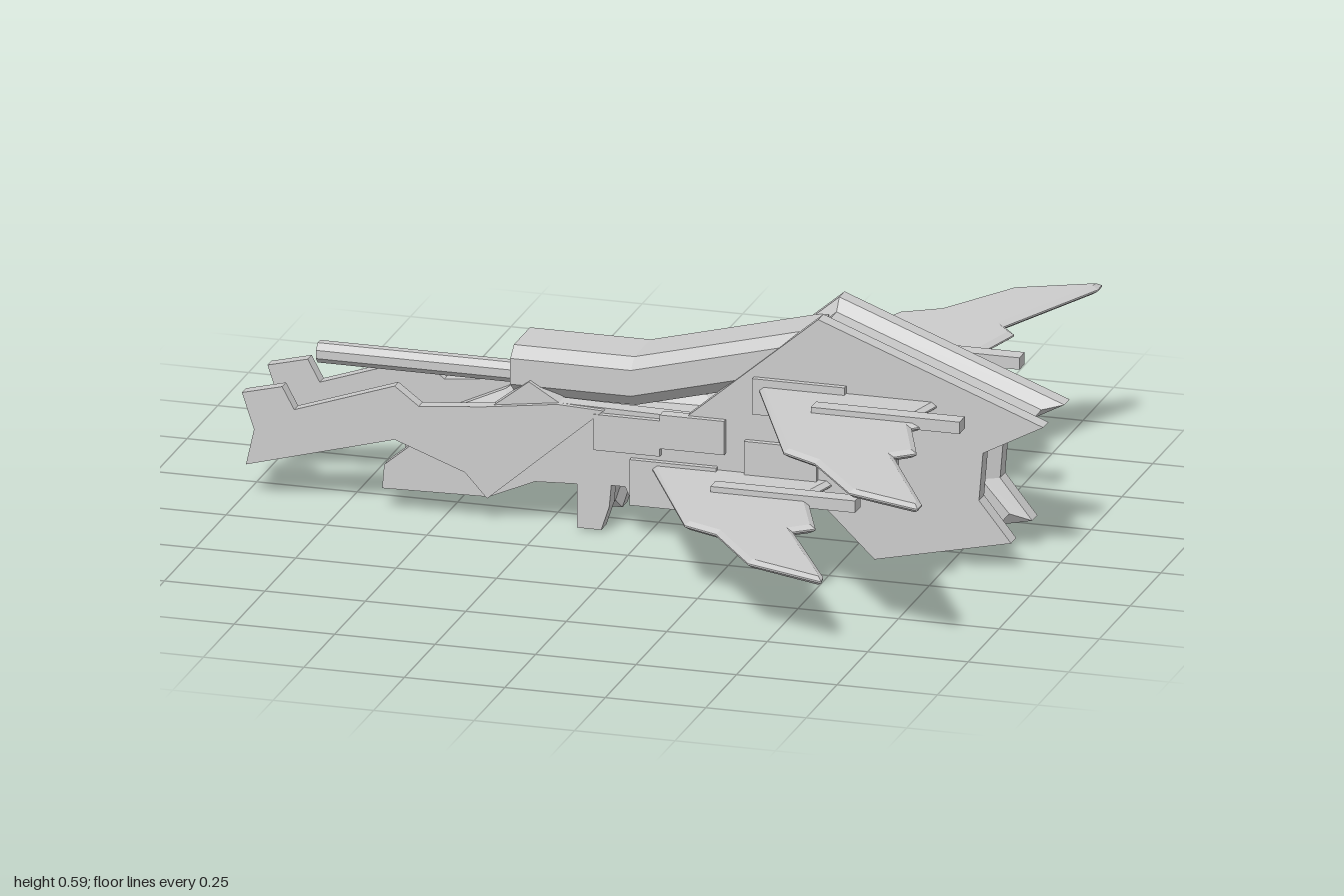
import * as THREE from 'three';

const material = new THREE.MeshStandardMaterial({ color: 0xcccccc, flatShading: true });

// Skins a row of counter-clockwise [x, y] outlines, each at its own z, and caps both ends
function loft(rings) {
  const pos = [];
  const put = (ring, i) => {
    const p = ring.pts[i % ring.pts.length];
    pos.push(p[0], p[1], ring.z);
  };
  for (let r = 0; r < rings.length - 1; r++) {
    const a = rings[r], b = rings[r + 1];
    for (let i = 0; i < a.pts.length; i++) {
      put(a, i); put(a, i + 1); put(b, i + 1);
      put(a, i); put(b, i + 1); put(b, i);
    }
  }
  const first = rings[0], last = rings[rings.length - 1];
  const tris = THREE.ShapeUtils.triangulateShape(last.pts.map(p => new THREE.Vector2(...p)), []);
  for (const [i, j, k] of tris) {
    put(last, i); put(last, j); put(last, k);
    put(first, k); put(first, j); put(first, i);
  }
  const geo = new THREE.BufferGeometry();
  geo.setAttribute('position', new THREE.Float32BufferAttribute(pos, 3));
  geo.computeVertexNormals();
  return geo;
}

export function createModel() {
  const model = new THREE.Group();
  model.name = 'spacecraft';
  const add = (name, geo, x = 0, y = 0, z = 0) => {
    const mesh = new THREE.Mesh(geo, material);
    mesh.name = name;
    mesh.position.set(x, y, z);
    model.add(mesh);
    return mesh;
  };
  const slab = (name, x0, x1, y0, y1, z0, z1) => add(name,
    new THREE.BoxGeometry(x1 - x0, y1 - y0, z1 - z0), (x0 + x1) / 2, (y0 + y1) / 2, (z0 + z1) / 2);

  // Hull: outer side outline paired with the recessed outline of the middle channel
  const hull = [
    [-0.655, 0.06, -0.59, 0.085], [-0.39, 0.065, -0.385, 0.09], [-0.275, 0.115, -0.27, 0.14],
    [-0.17, 0.12, -0.155, 0.14], [-0.17, 0.01, -0.155, 0.035], [-0.11, 0.01, -0.12, 0.035],
    [-0.09, 0.07, -0.105, 0.08], [-0.085, 0.125, -0.1, 0.15], [-0.05, 0.125, -0.03, 0.15],
    [-0.035, 0.09, -0.01, 0.115], [0.18, 0.08, 0.16, 0.11], [0.2, 0.13, 0.18, 0.16],
    [0.425, 0.145, 0.415, 0.175], [0.57, 0.005, 0.575, 0.035], [0.91, 0.08, 0.86, 0.1],
    [0.83, 0.18, 0.79, 0.18], [0.84, 0.3, 0.8, 0.305], [0.99, 0.38, 0.94, 0.37],
    [0.43, 0.595, 0.43, 0.565], [0.1, 0.315, 0.12, 0.295], [-0.215, 0.32, -0.215, 0.29],
    [-0.29, 0.365, -0.29, 0.335], [-0.4, 0.28, -0.39, 0.25], [-0.53, 0.22, -0.5, 0.19],
    [-0.65, 0.12, -0.59, 0.11],
  ];
  const outer = hull.map(p => [p[0], p[1]]);
  const inner = hull.map(p => [p[2], p[3]]);
  add('hull', loft([
    { pts: outer, z: -0.107 }, { pts: outer, z: -0.065 }, { pts: inner, z: -0.042 },
    { pts: inner, z: 0.042 }, { pts: outer, z: 0.065 }, { pts: outer, z: 0.107 },
  ]));

  // Long fork plates either side of the nose
  const fork = [
    [-0.99, 0.09], [-0.62, 0.19], [-0.445, 0.125], [-0.39, 0.065], [-0.1, 0.315], [-0.215, 0.32],
    [-0.4, 0.295], [-0.56, 0.28], [-0.62, 0.325], [-0.87, 0.24], [-0.9, 0.295], [-1, 0.27], [-0.97, 0.18],
  ];
  for (const s of [-1, 1]) {
    const z = s * 0.104;
    add('forkPlate', loft([{ pts: fork, z: z - 0.016 }, { pts: fork, z: z + 0.016 }]));
  }

  // Faceted spine that runs level, then climbs into the hull peak
  const section = [
    [-0.055, 0.315], [0.055, 0.315], [0.095, 0.35], [0.095, 0.415],
    [0.065, 0.44], [-0.065, 0.44], [-0.095, 0.415], [-0.095, 0.35],
  ];
  const stations = [[-0.34, 0], [-0.04, 0], [0.41, 0.115]];
  const spine = loft(stations.map(([x, lift]) => ({ z: x, pts: section.map(([u, v]) => [u, v + lift]) })));
  add('spine', spine.rotateY(Math.PI / 2));

  // Nose gun
  const gun = new THREE.CylinderGeometry(0.027, 0.027, 0.53, 8);
  gun.rotateY(Math.PI / 8).rotateZ(Math.PI / 2);
  add('gunBarrel', gun, -0.58, 0.35, 0);

  // Blade wings, outlined as [x, z] with thin bevelled edges
  const wing = (name, outline, y) => {
    const shape = new THREE.Shape(outline.map(([x, z]) => new THREE.Vector2(x, -z)));
    const geo = new THREE.ExtrudeGeometry(shape, {
      depth: 0.004, bevelEnabled: true, bevelThickness: 0.009, bevelSize: 0.013, bevelOffset: -0.013, bevelSegments: 1,
    });
    geo.rotateX(-Math.PI / 2);
    add(name, geo, 0, y - 0.002, 0);
  };
  const upperY = 0.405, lowerY = 0.18;
  // Notched trailing edge, from tip to root, shared by the wings of each side
  const rightTrail = [[0.845, -0.81], [0.71, -0.49], [0.75, -0.44], [0.715, -0.3], [0.735, -0.26], [0.705, -0.2], [0.735, -0.06]];
  const leftTrail = [[0.9, 0.8], [0.735, 0.49], [0.78, 0.45], [0.715, 0.28], [0.735, 0.26], [0.705, 0.19], [0.735, 0.06]];
  const shift = (pts, dx, k) => pts.map(([x, z]) => [x + dx, z * k]);
  wing('upperRightWing', [
    [0.27, -0.06], [0.44, -0.505], [0.53, -0.56], [0.65, -0.755], [0.845, -0.845], ...rightTrail], upperY);
  wing('upperLeftWing', [
    [0.26, 0.06], [0.475, 0.535], [0.57, 0.59], [0.71, 0.77], [0.9, 0.835], ...leftTrail], upperY);
  wing('lowerRightWing', [
    [-0.01, -0.06], [0.165, -0.51], [0.255, -0.565], [0.38, -0.76], [0.57, -0.845], ...shift(rightTrail, -0.275, 1)], lowerY);
  wing('lowerLeftWing', [
    [-0.01, 0.06], [0.215, 0.49], [0.305, 0.53], [0.44, 0.71], [0.645, 0.785], ...shift(leftTrail, -0.26, 0.94)], lowerY);

  // Rails on the wings and raised panels on the hull sides: x0, x1, y0, y1
  const panels = [
    [-0.125, 0.04, 0.215, 0.305], [0.04, 0.2, 0.235, 0.32], [0.25, 0.43, 0.185, 0.275],
    [0.45, 0.63, 0.245, 0.32], [0.27, 0.5, 0.345, 0.435], [-0.035, 0.18, 0.085, 0.2],
  ];
  for (const s of [-1, 1]) {
    const zs = (a, b) => (s > 0 ? [a, b] : [-b, -a]);
    slab('upperWingRail', 0.46, 0.83, upperY - 0.005, upperY + 0.025, ...zs(0.222, 0.265));
    slab('lowerWingRail', 0.21, 0.57, lowerY - 0.005, lowerY + 0.025, ...zs(0.222, 0.265));
    for (const p of panels) slab('sidePanel', ...p, ...zs(0.09, 0.122));
  }
  return model;
}
